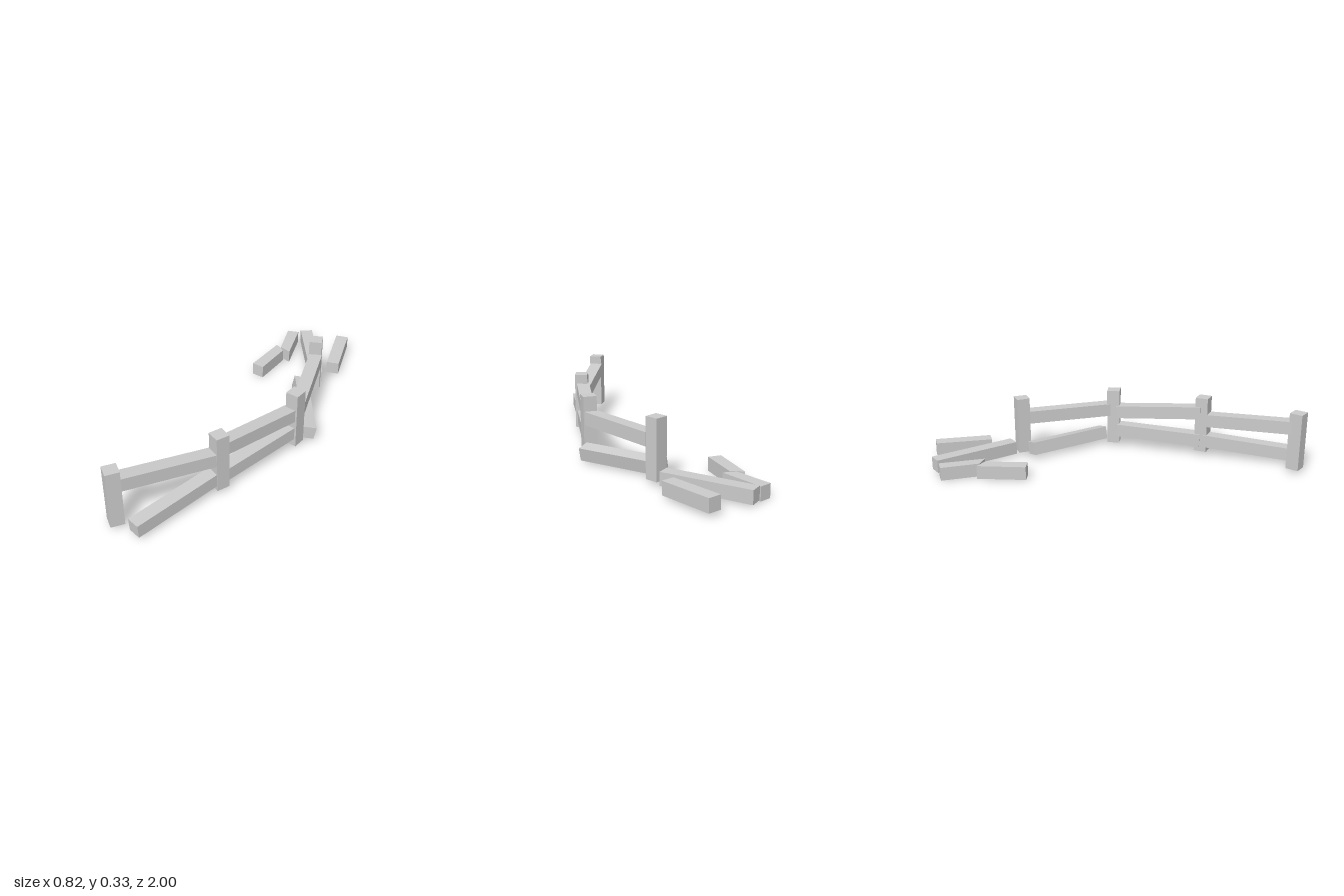
import * as THREE from 'three';

const T = 0.07; // timber thickness
const material = new THREE.MeshStandardMaterial({ color: 0xcccccc, flatShading: true });

// Square timber running between two centre points, optionally rolled about its length
function beam(name, a, b, roll = 0) {
  const start = new THREE.Vector3(...a);
  const end = new THREE.Vector3(...b);
  const dir = end.clone().sub(start);
  const length = dir.length();
  const mesh = new THREE.Mesh(new THREE.BoxGeometry(T, T, length), material);
  mesh.name = name;
  mesh.position.copy(start).add(end).multiplyScalar(0.5);
  mesh.rotation.set(-Math.asin(dir.y / length), Math.atan2(dir.x, dir.z), roll, 'YXZ');
  return mesh;
}

// Upright post, turned to follow the bend of the fence
function post(name, x, z, turn) {
  const mesh = new THREE.Mesh(new THREE.BoxGeometry(T, 0.31, T), material);
  mesh.name = name;
  mesh.position.set(x, 0.175, z);
  mesh.rotation.y = turn;
  return mesh;
}

// Timber with a slanted broken end, extruded from its plan outline of [x, z] corners
function brokenPiece(name, corners) {
  const shape = new THREE.Shape(corners.map(([x, z]) => new THREE.Vector2(x, -z)));
  const geometry = new THREE.ExtrudeGeometry(shape, { depth: 0.072, bevelEnabled: false });
  geometry.rotateX(-Math.PI / 2);
  const mesh = new THREE.Mesh(geometry, material);
  mesh.name = name;
  return mesh;
}

export function createModel() {
  const fence = new THREE.Group();
  fence.name = 'brokenFence';

  // Standing posts, front to back
  fence.add(
    post('frontPost', 0.217, 0.952, -0.37),
    post('secondPost', 0.35, 0.43, -0.16),
    post('thirdPost', 0.35, -0.085, 0.16),
    post('backPost', 0.069, -0.536, 0.66),
  );

  // Rails still attached to the posts
  fence.add(
    beam('frontUpperRail', [0.222, 0.25, 0.93], [0.348, 0.202, 0.44]),
    beam('middleUpperRail', [0.345, 0.245, 0.42], [0.345, 0.207, -0.06]),
    beam('middleLowerRail', [0.345, 0.083, 0.42], [0.345, 0.098, -0.06]),
    beam('backUpperRail', [0.345, 0.217, -0.11], [0.09, 0.217, -0.515]),
  );

  // Rails hanging loose or dropped beside the posts
  fence.add(
    beam('frontLowerRail', [0.34, 0.053, 0.94], [0.34, 0.085, 0.44]),
    beam('backLowerRail', [0.02, 0.055, -0.468], [0.385, 0.052, -0.16], -0.2),
  );

  // Pieces lying on the ground
  fence.add(
    beam('looseShortRail', [-0.112, 0.057, -0.982], [0.046, 0.05, -0.722]),
    beam('looseLongRail', [-0.322, 0.047, -0.885], [0.043, 0.047, -0.585]),
    brokenPiece('brokenRailBack', [[-0.408, -0.81], [-0.353, -0.846], [-0.227, -0.638], [-0.298, -0.638]]),
    brokenPiece('brokenRailFront', [[-0.334, -0.64], [-0.264, -0.622], [-0.212, -0.402], [-0.28, -0.387]]),
  );

  return fence;
}
